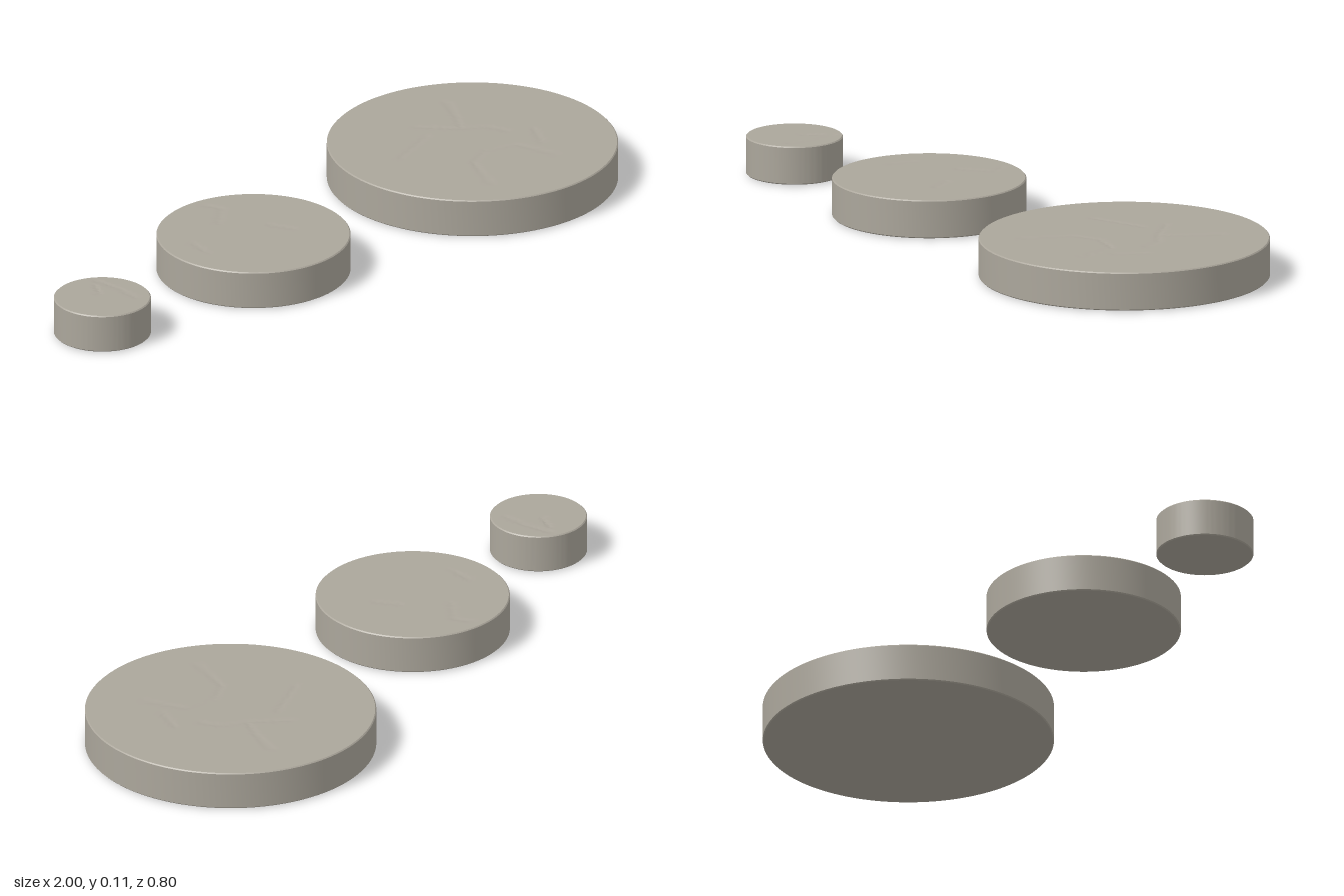
import * as THREE from 'three';
import { toCreasedNormals } from 'three/addons/utils/BufferGeometryUtils.js';

const BOTTOM = 0.002, TOP = 0.11, BEVEL = 0.003;

// each disc: centre x, radius, and its hairline cracks as [x, z] paths from the disc centre
const DISCS = [
  { name: 'smallDisc', x: -0.866, r: 0.134, cracks: [
    [[0.065, -0.09], [0.07, -0.01], [0.06, 0.07]],
    [[0.04, -0.065], [0.01, -0.02]],
  ] },
  { name: 'mediumDisc', x: -0.268, r: 0.268, cracks: [
    [[0.04, -0.23], [0.06, -0.18], [-0.02, -0.115]],
    [[-0.165, -0.08], [-0.18, -0.01]],
    [[0.07, -0.01], [0.1, 0.06]],
  ] },
  { name: 'largeDisc', x: 0.598, r: 0.402, cracks: [
    [[0.14, -0.235], [0.09, -0.15], [0.04, -0.085], [0.1, -0.04], [0.12, 0.02]],
    [[-0.04, -0.18], [0.04, -0.085]],
    [[-0.22, -0.065], [-0.06, -0.115]],
    [[-0.17, 0.235], [-0.1, 0.1], [-0.02, 0.07], [0.07, 0.1], [0.1, 0.23]],
    [[0.18, 0.06], [0.13, 0.14]],
  ] },
];

function distanceToPath(point, path) {
  let best = Infinity;
  const near = new THREE.Vector3();
  for (let i = 0; i < path.length - 1; i++) {
    const a = new THREE.Vector3(path[i][0], 0, path[i][1]);
    const b = new THREE.Vector3(path[i + 1][0], 0, path[i + 1][1]);
    new THREE.Line3(a, b).closestPointToPoint(point, true, near);
    best = Math.min(best, near.distanceTo(point));
  }
  return best;
}

function discGeometry({ r, cracks }) {
  // underside, bevelled wall, then rings across the top
  const profile = [
    [0, 0], [r - BEVEL, BOTTOM], [r, BOTTOM + BEVEL], [r, TOP - BEVEL], [r - BEVEL, TOP],
  ].map(([x, y]) => new THREE.Vector2(x, y));
  const rings = Math.ceil(r / 0.008);
  for (let i = rings - 1; i >= 0; i--) {
    profile.push(new THREE.Vector2((r - BEVEL) * i / rings, TOP));
  }
  const geometry = new THREE.LatheGeometry(profile, 128);

  // press the cracks shallowly into the top
  const pos = geometry.attributes.position;
  const point = new THREE.Vector3();
  for (let i = 0; i < pos.count; i++) {
    if (pos.getY(i) < TOP - 1e-5) continue;
    point.set(pos.getX(i), 0, pos.getZ(i));
    const d = Math.min(...cracks.map((path) => distanceToPath(point, path)));
    if (d < 0.008) pos.setY(i, TOP - 0.002 * (1 - d / 0.008));
  }
  return toCreasedNormals(geometry, 0.5);
}

export function createModel() {
  const group = new THREE.Group();
  group.name = 'stoneDiscs';
  const stone = new THREE.MeshStandardMaterial({ color: 0xaba69b });
  for (const disc of DISCS) {
    const mesh = new THREE.Mesh(discGeometry(disc), stone);
    mesh.name = disc.name;
    mesh.position.x = disc.x;
    group.add(mesh);
  }
  return group;
}
